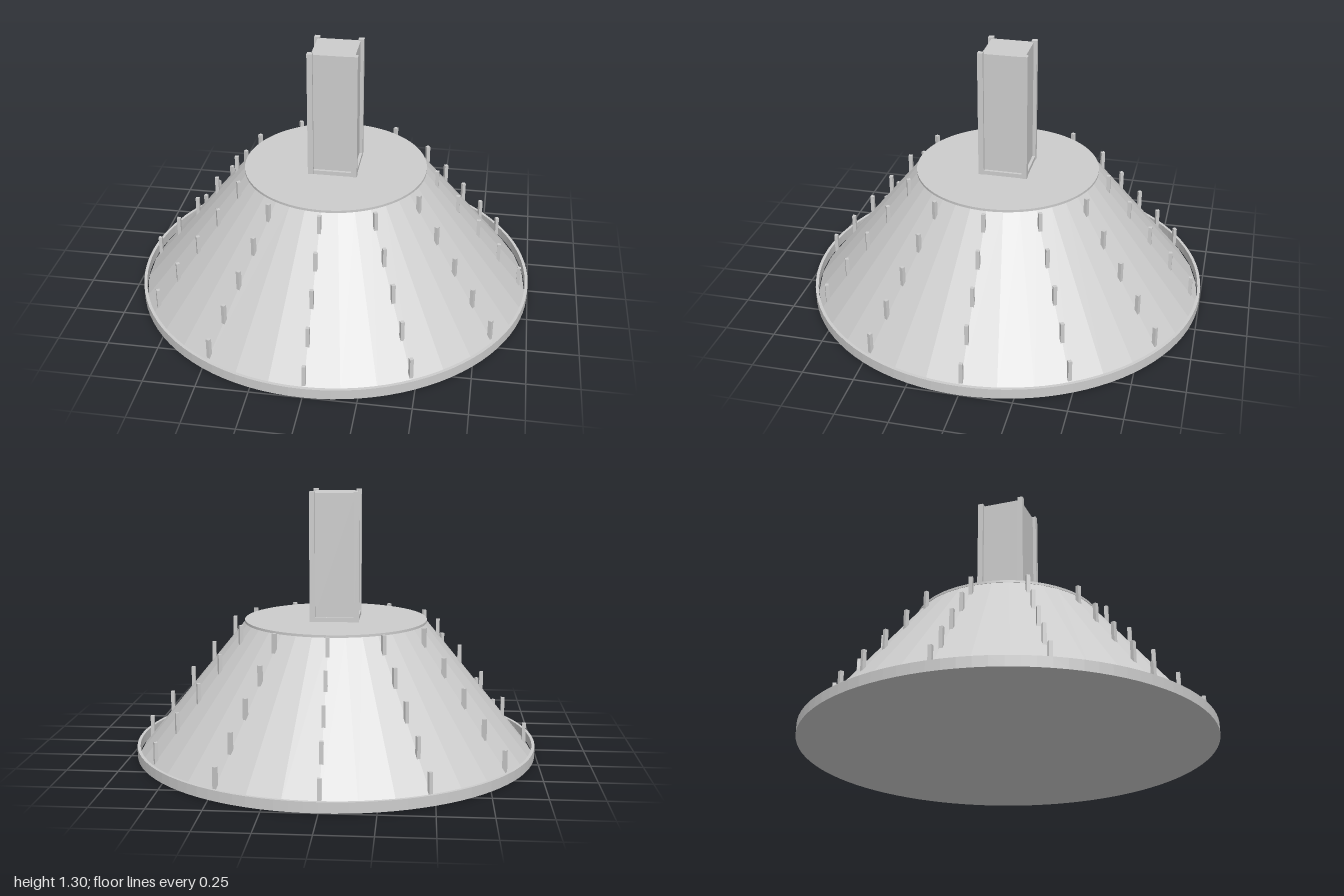
import * as THREE from 'three';

const grey = new THREE.MeshStandardMaterial({ color: 0xcccccc });
grey.name = 'light grey';
const flatGrey = grey;

export function createModel() {
  const model = new THREE.Group();
  model.name = 'conicalMoundWithTower';

  const add = (name, geometry, x = 0, y = 0, z = 0, parent = model) => {
    const mesh = new THREE.Mesh(geometry, flatGrey);
    mesh.name = name;
    mesh.position.set(x, y, z);
    parent.add(mesh);
    return mesh;
  };

  // Faceted sloping mound; non-indexed so each facet gets its own normal
  const slope = new THREE.CylinderGeometry(0.452, 0.985, 0.655, 36).toNonIndexed();
  slope.computeVertexNormals();
  add('mound', slope, 0, 0.3275, 0);

  // Thin rim standing around the foot of the mound, open inside
  const rimProfile = [[0.9, 0], [1, 0], [1, 0.05], [0.985, 0.05], [0.985, 0.002]]
    .map(([r, y]) => new THREE.Vector2(r, y));
  const rim = new THREE.LatheGeometry(rimProfile, 96).toNonIndexed();
  rim.computeVertexNormals();
  add('baseRim', rim);

  // Flat deck on top
  add('topDeck', new THREE.CylinderGeometry(0.455, 0.455, 0.012, 96), 0, 0.659, 0);

  // Twelve radial lines of five small posts stepping up the slope
  const postGeometry = new THREE.BoxGeometry(0.018, 0.138, 0.018);
  const posts = new THREE.Group();
  posts.name = 'slopePosts';
  model.add(posts);
  for (let i = 0; i < 12; i++) {
    const angle = (i * Math.PI) / 6;
    for (let row = 0; row < 5; row++) {
      const r = 0.949 - row * 0.11;
      const post = add('slopePost', postGeometry,
        r * Math.sin(angle), 0.07 + row * 0.132, r * Math.cos(angle), posts);
      post.rotation.y = angle;
    }
  }

  // Square tower with corner posts and a low foot rail
  const tower = new THREE.Group();
  tower.name = 'tower';
  model.add(tower);
  add('towerBody', new THREE.BoxGeometry(0.21, 0.63, 0.21), 0, 0.98, 0, tower);
  add('towerFootRail', new THREE.BoxGeometry(0.238, 0.022, 0.238), 0, 0.675, 0, tower);
  const cornerGeometry = new THREE.BoxGeometry(0.027, 0.64, 0.027);
  for (const x of [-1, 1]) {
    for (const z of [-1, 1]) {
      add('towerCornerPost', cornerGeometry, x * 0.108, 0.983, z * 0.108, tower);
    }
  }

  return model;
}
